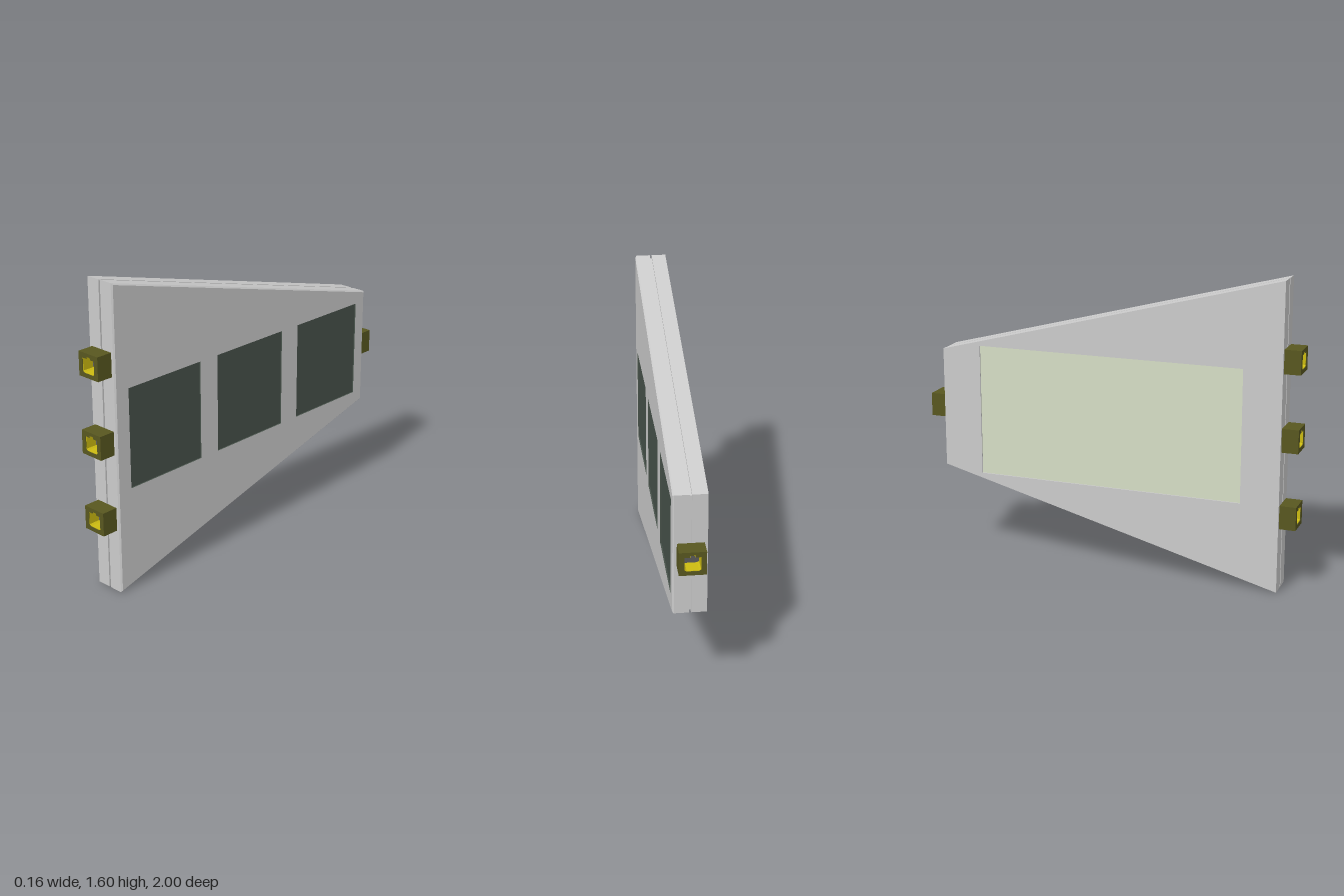
import * as THREE from 'three';

const mat = (color) => new THREE.MeshStandardMaterial({ color, flatShading: true });
const grey = mat(0xcccccc), darkPanel = mat(0x47524a), palePanel = mat(0xd6dec6);
const olive = mat(0x585720), yellow = mat(0xccbb11), socketGrey = mat(0x5a5a5a);

// Corner lists are [z, y]: bottom front, bottom back, top back, top front
const outline = (i) => [
  [0.915 - i, i * 1.3], [-0.915 + i, 0.48 + i * 0.8],
  [-0.915 + i, 1.115 - i * 0.8], [0.915 - i, 1.595 - i * 1.3],
];
const rect = (z0, z1, y0, y1) => [[z1, y0], [z0, y0], [z0, y1], [z1, y1]];

// Side walls joining successive four-cornered rings { x, pts }
function loft(rings) {
  const pos = [];
  for (let r = 0; r < rings.length - 1; r++) {
    const A = rings[r], B = rings[r + 1];
    for (let k = 0; k < 4; k++) {
      const n = (k + 1) % 4;
      const v = (R, j) => [R.x, R.pts[j][1], R.pts[j][0]];
      const a = v(A, k), b = v(A, n), c = v(B, n), d = v(B, k);
      pos.push(...a, ...b, ...c, ...a, ...c, ...d);
    }
  }
  const g = new THREE.BufferGeometry();
  g.setAttribute('position', new THREE.Float32BufferAttribute(pos, 3));
  g.computeVertexNormals();
  return g;
}

// Flat face looking toward +x (side 1) or -x (side -1), with openings
function face(x, side, pts, openings = []) {
  const flat = (p) => p.map(([z, y]) => new THREE.Vector2(-side * z, y));
  const s = new THREE.Shape(flat(pts));
  openings.forEach((o) => s.holes.push(new THREE.Path(flat(o))));
  return new THREE.ShapeGeometry(s).rotateY(side * Math.PI / 2).translate(x, 0, 0);
}

function add(parent, name, geometry, material) {
  const m = new THREE.Mesh(geometry, material);
  m.name = name;
  parent.add(m);
  return m;
}

// Square outline with a key notch on top and clipped lower corners
function keyOutline(s, Type = THREE.Shape) {
  const pts = [[-0.03, -0.04], [0.03, -0.04], [0.04, -0.033], [0.04, 0.034], [0.013, 0.034],
    [0.013, 0.044], [-0.013, 0.044], [-0.013, 0.034], [-0.04, 0.034], [-0.04, -0.033]];
  return new Type(pts.map(([x, y]) => new THREE.Vector2(x * s, y * s)));
}
const extrude = (shape, depth, z = 0) =>
  new THREE.ExtrudeGeometry(shape, { depth, bevelEnabled: false }).translate(0, 0, z);

// Socket pointing along +z from its own origin
function connector(name) {
  const g = new THREE.Group();
  g.name = name;
  const w = 0.065, h = 0.061;
  const block = new THREE.Shape([[-w, -h], [w, -h], [w, h], [-w, h]].map((p) => new THREE.Vector2(...p)));
  block.holes.push(keyOutline(1, THREE.Path));
  add(g, 'socketBlock', extrude(block, 0.085), olive);
  const lining = keyOutline(1);
  lining.holes.push(keyOutline(0.95, THREE.Path));
  add(g, 'socketLining', extrude(lining, 0.082), yellow);
  add(g, 'socketFloor', extrude(keyOutline(0.95), 0.01), socketGrey);
  add(g, 'socketStep', extrude(keyOutline(0.72), 0.01, 0.01), socketGrey);
  add(g, 'socketPin', new THREE.BoxGeometry(0.036, 0.036, 0.02).translate(0, 0, 0.03), socketGrey);
  return g;
}

export function createModel() {
  const model = new THREE.Group();
  model.name = 'taperedPanelModule';
  const left = 0.08, right = -0.085, depth = 0.007;

  // Two slabs with a groove between them and a bevelled left rim
  const profile = [[right, 0], [-0.01, 0], [-0.01, 0.012], [0, 0.012], [0, 0], [0.073, 0], [left, 0.007]];
  add(model, 'slabEdges', loft(profile.map(([x, i]) => ({ x, pts: outline(i) }))), grey);

  // Left face with three recessed panels
  const windows = [0.593, -0.005, -0.605].map((z) => rect(z - 0.239, z + 0.239, 0.54, 1.06));
  add(model, 'leftFace', face(left, 1, outline(0.007), windows), grey);
  windows.forEach((w) => {
    add(model, 'panelRim', loft([{ x: left, pts: w }, { x: left - depth, pts: w }]), darkPanel);
    add(model, 'darkPanel', face(left - depth, 1, w), darkPanel);
  });

  // Right face with one long recessed panel
  const bay = rect(-0.705, 0.715, 0.452, 1.146);
  add(model, 'rightFace', face(right, -1, outline(0), [bay]), grey);
  add(model, 'longPanelRim', loft([{ x: right + depth, pts: bay }, { x: right, pts: bay }]), grey);
  add(model, 'longPanel', face(right + depth, -1, bay), palePanel);

  // Three sockets on the front edge, one on the back edge
  [0.397, 0.797, 1.195].forEach((y) => {
    const c = connector('frontConnector');
    c.position.set(-0.005, y, 0.915);
    model.add(c);
  });
  const back = connector('backConnector');
  back.position.set(-0.005, 0.8, -0.915);
  back.rotation.y = Math.PI;
  model.add(back);
  return model;
}
